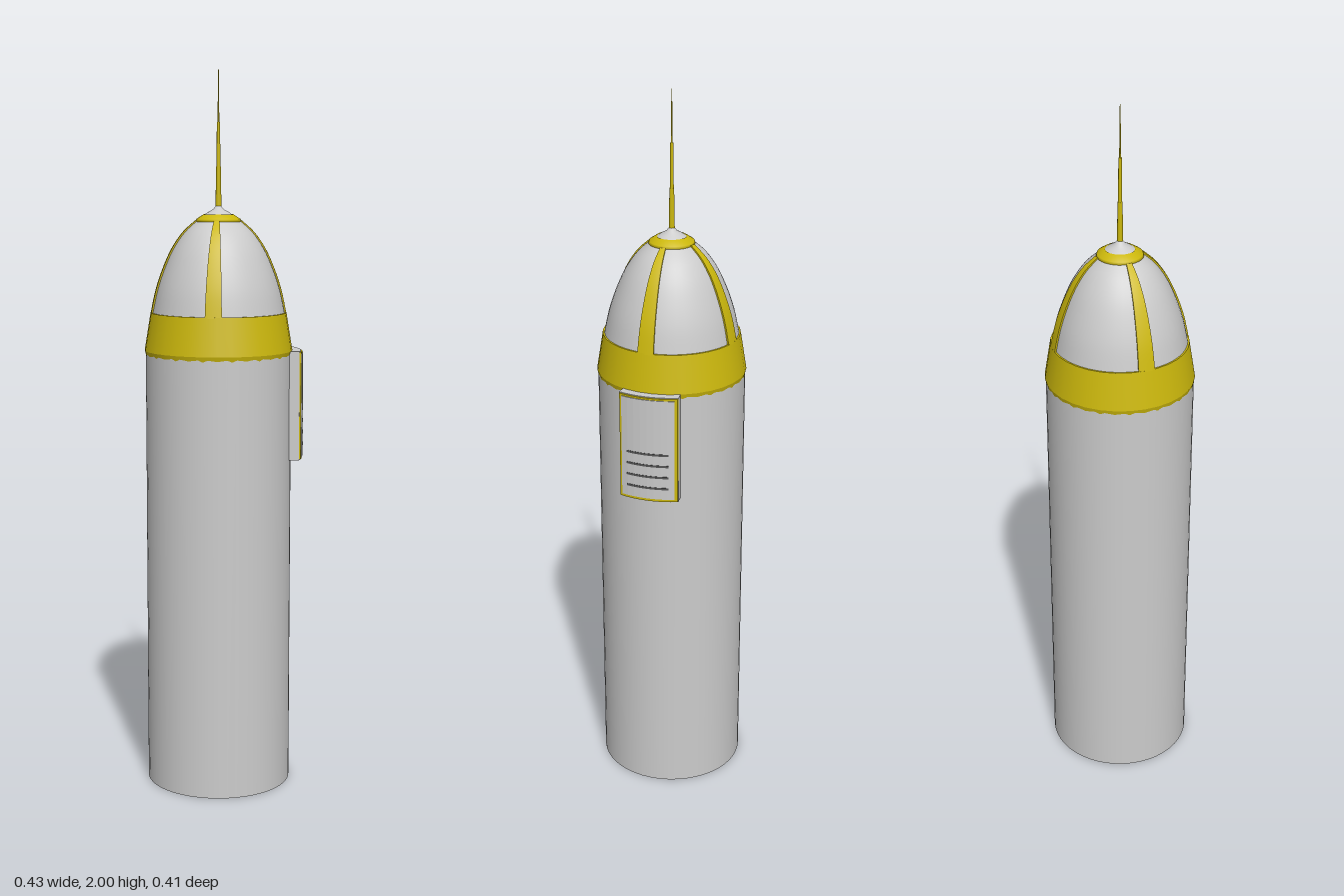
import * as THREE from 'three';

const CX = -0.011; // axis of the round body
const SIDES = 32;
const rad = THREE.MathUtils.degToRad;
const mat = (color) => new THREE.MeshStandardMaterial({ color, side: THREE.DoubleSide });
const grey = mat(0xcccccc), yellow = mat(0xccb80c), dark = mat(0x555555);

// Dome profile from the band up to the collar
const DOME = [[0.185, 1.335], [0.171, 1.4], [0.151, 1.46], [0.126, 1.515], [0.095, 1.56], [0.06, 1.592]];

export function createModel() {
  const model = new THREE.Group();
  const add = (name, geometry, material) => {
    const mesh = new THREE.Mesh(geometry, material);
    mesh.name = name;
    mesh.position.x = CX;
    model.add(mesh);
    return mesh;
  };
  const lathe = (pts, sides = SIDES, start = 0, length = Math.PI * 2) =>
    new THREE.LatheGeometry(pts.map(([x, y]) => new THREE.Vector2(x, y)), sides, start, length);
  const smooth = (pts, n = 20, offset = 0) =>
    new THREE.SplineCurve(pts.map(([x, y]) => new THREE.Vector2(x, y))).getPoints(n)
      .map((p) => [p.x + offset, p.y + offset * 0.4]);

  // Main cylinder
  const body = new THREE.CylinderGeometry(0.203, 0.203, 1.23, 48);
  body.translate(0, 0.615, 0);
  add('body', body, grey);

  // Tapered band, built as separate rings so its edges stay crisp
  const rings = [
    [[0.2, 1.21], [0.206, 1.235]],
    [[0.206, 1.235], [0.189, 1.34]],
    [[0.189, 1.34], [0.18, 1.34]],
  ];
  rings.forEach((ring, i) => add('noseBand' + (i + 1), lathe(ring), yellow));

  // Dome with four raised ribs
  add('dome', lathe(smooth(DOME), 48), grey);
  const ribWidth = rad(14);
  for (const angle of [48.5, 131.5, 228.5, 311.5]) {
    const outer = smooth(DOME, 20, 0.004);
    const start = rad(angle) - ribWidth / 2;
    add('rib', lathe(outer, 4, start, ribWidth), yellow);
    // Thin side walls of the rib
    for (const phi of [start, start + ribWidth]) {
      add('ribEdge', sideWall(smooth(DOME, 20, -0.002), outer, phi), yellow);
    }
  }

  // Collar and pointed cap
  add('collar', lathe([[0.058, 1.587], [0.063, 1.59], [0.061, 1.597], [0.041, 1.61], [0.038, 1.607]]), yellow);
  add('cap', lathe([[0.041, 1.607], [0.03, 1.615], [0.014, 1.624], [0.006, 1.635], [0, 1.637]]), grey);

  // Stepped antenna
  const steps = [[0.0085, 0.0065, 1.62, 1.74], [0.0055, 0.0045, 1.74, 1.86], [0.0025, 0.001, 1.86, 2]];
  for (const [r0, r1, y0, y1] of steps) {
    const rod = new THREE.CylinderGeometry(r1, r0, y1 - y0, 10);
    rod.translate(0, (y0 + y1) / 2, 0);
    add('antenna', rod, yellow);
  }

  // Curved equipment box on the front left: housing, yellow rim, cover, slots
  add('boxHousing', sector(0.198, 0.23, 23.5, 21, 0.93, 1.235), grey);
  add('boxRim', sector(0.229, 0.234, 21, 20.2, 0.932, 1.233), yellow);
  add('boxCover', sector(0.232, 0.2365, 18.3, 18.3, 0.94, 1.228), grey);
  for (let i = 0; i < 4; i++) {
    const y = 0.972 + i * 0.033;
    add('boxSlot', sector(0.234, 0.2375, 14.5, 14.5, y - 0.003, y + 0.003), dark);
  }
  return model;
}

// Strip in the plane of angle phi between two matching profiles
function sideWall(inner, outer, phi) {
  const pos = [], index = [];
  inner.forEach((p, i) => {
    for (const [r, y] of [p, outer[i]]) pos.push(r * Math.sin(phi), y, r * Math.cos(phi));
    if (i) {
      const a = 2 * i - 2;
      index.push(a, a + 1, a + 2, a + 1, a + 3, a + 2);
    }
  });
  const geometry = new THREE.BufferGeometry();
  geometry.setAttribute('position', new THREE.Float32BufferAttribute(pos, 3));
  geometry.setIndex(index);
  geometry.computeVertexNormals();
  return geometry;
}

// Curved slab around the body axis; half angles in degrees at inner and outer radius
function sector(rIn, rOut, halfIn, halfOut, y0, y1) {
  const mid = 36, n = 8, pts = [];
  const point = (r, deg) => new THREE.Vector2(r * Math.cos(rad(deg)), r * Math.sin(rad(deg)));
  for (let i = 0; i <= n; i++) pts.push(point(rOut, mid - halfOut + (2 * halfOut * i) / n));
  for (let i = n; i >= 0; i--) pts.push(point(rIn, mid - halfIn + (2 * halfIn * i) / n));
  const geometry = new THREE.ExtrudeGeometry(new THREE.Shape(pts), { depth: y1 - y0, bevelEnabled: false });
  geometry.rotateX(Math.PI / 2);
  geometry.translate(0, y1, 0);
  return geometry;
}
